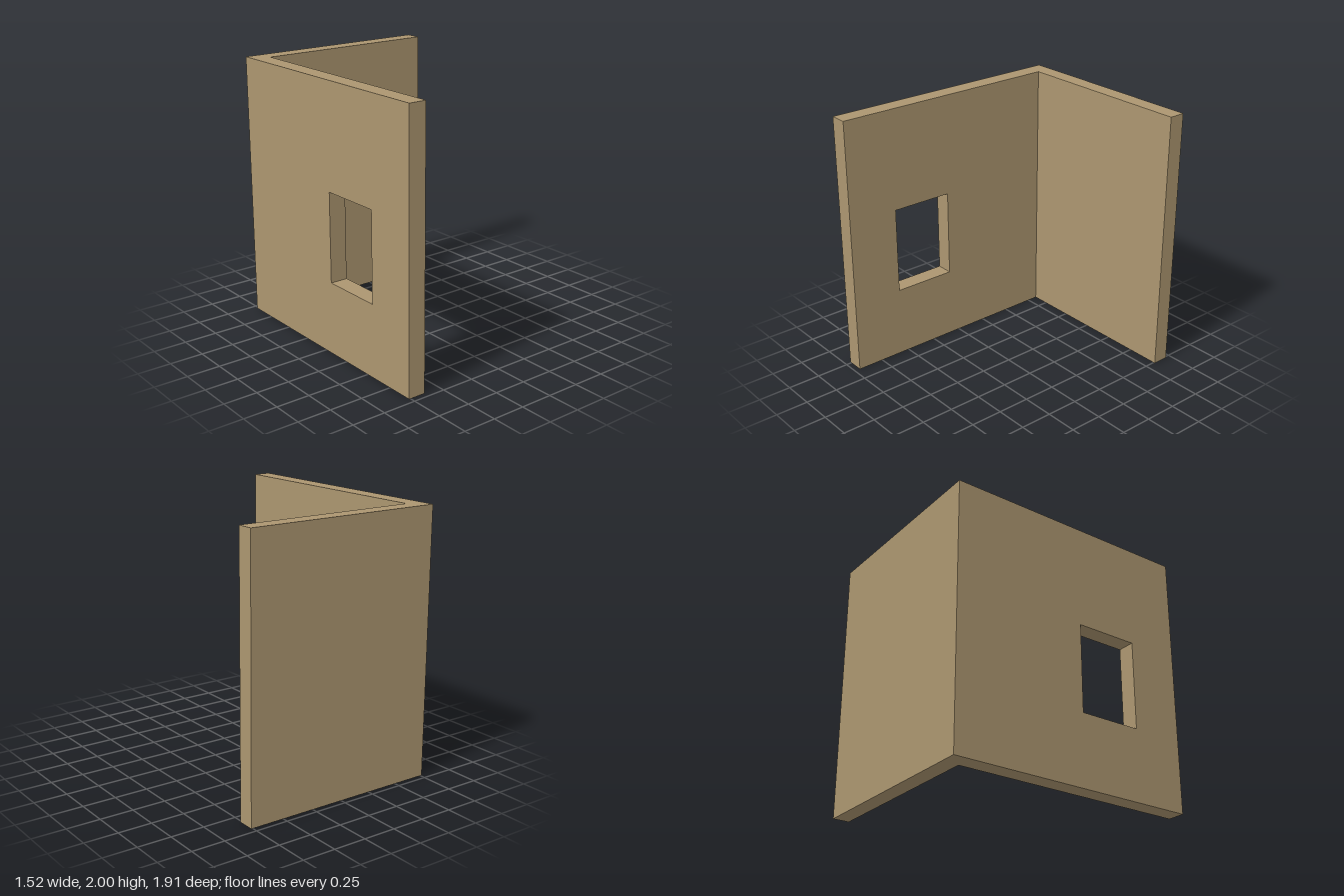
import * as THREE from 'three';

const H = 2, X0 = -0.762, X1 = 0.762, Z0 = -0.957, Z1 = 0.957;
const INNER_X = -0.63, INNER_Z = -0.833;

// Closed rectangle outline as a list of corners
const rect = (a0, b0, a1, b1) => [[a0, b0], [a1, b0], [a1, b1], [a0, b1]]
  .map(([a, b]) => new THREE.Vector2(a, b));

export function createModel() {
  const group = new THREE.Group();
  group.name = 'cornerWalls';
  const tan = new THREE.MeshStandardMaterial({ name: 'tan wall', color: 0xac9670 });

  // Side wall: drawn in (z, y) with a window opening, extruded across x
  const profile = new THREE.Shape(rect(Z0, 0, Z1, H));
  profile.holes.push(new THREE.Path(rect(0.08, 0.546, 0.56, 1.216)));
  const sideGeometry = new THREE.ExtrudeGeometry(profile, { depth: INNER_X - X0, bevelEnabled: false });
  sideGeometry.rotateY(-Math.PI / 2).translate(INNER_X, 0, 0);
  const sideWall = new THREE.Mesh(sideGeometry, tan);
  sideWall.name = 'sideWallWithWindow';

  // Back wall: butts against the inner face of the side wall
  const backWall = new THREE.Mesh(new THREE.BoxGeometry(X1 - INNER_X, H, INNER_Z - Z0), tan);
  backWall.position.set((X1 + INNER_X) / 2, H / 2, (INNER_Z + Z0) / 2);
  backWall.name = 'backWall';

  group.add(sideWall, backWall);
  return group;
}
